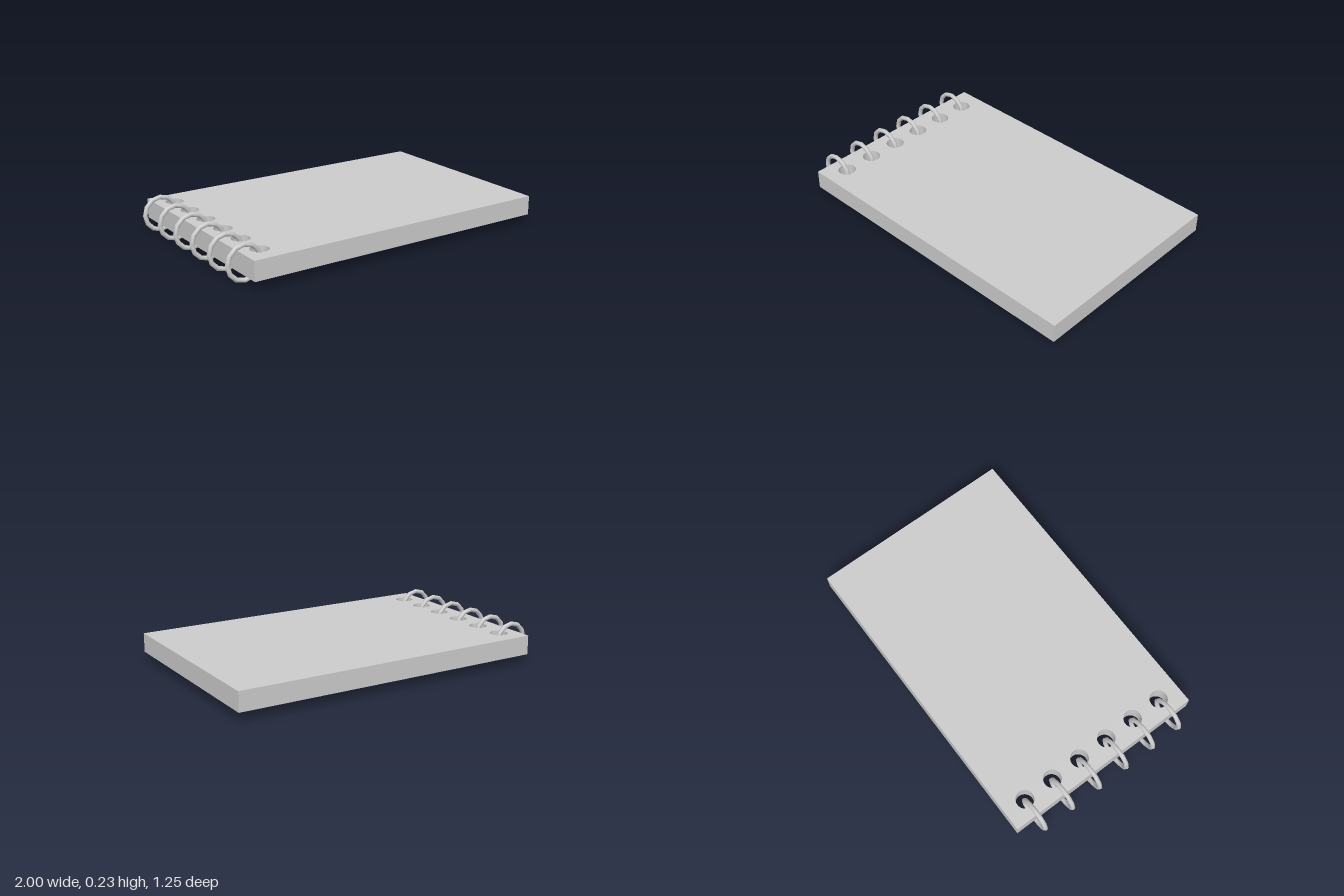
import * as THREE from 'three';

export function createModel() {
  const model = new THREE.Group();
  model.name = 'ringBoundNotepad';
  const material = new THREE.MeshStandardMaterial({ color: 0xcccccc });

  const count = 6, spacing = 0.195;
  const rowZ = (i) => (i - (count - 1) / 2) * spacing;

  // Page block, punched with a row of round holes along its left edge
  const left = -0.905, right = 1, halfDepth = 0.624, bottom = 0.053, top = 0.168;
  const outline = new THREE.Shape([
    new THREE.Vector2(left, -halfDepth),
    new THREE.Vector2(right, -halfDepth),
    new THREE.Vector2(right, halfDepth),
    new THREE.Vector2(left, halfDepth),
  ]);
  for (let i = 0; i < count; i++) {
    outline.holes.push(new THREE.Path().absarc(-0.794, rowZ(i), 0.053, 0, Math.PI * 2, true));
  }
  const pages = new THREE.ExtrudeGeometry(outline, {
    depth: top - bottom, bevelEnabled: false, curveSegments: 32,
  });
  pages.rotateX(Math.PI / 2).translate(0, top, 0);
  const block = new THREE.Mesh(pages, material);
  block.name = 'pageBlock';
  model.add(block);

  // Binding rings, one through each hole
  const tube = 0.014, outer = 0.113;
  const ringGeometry = new THREE.TorusGeometry(outer - tube, tube, 8, 12);
  const rings = new THREE.Group();
  rings.name = 'bindingRings';
  for (let i = 0; i < count; i++) {
    const ring = new THREE.Mesh(ringGeometry, material);
    ring.name = 'bindingRing';
    ring.position.set(outer - 1, outer, rowZ(i));
    rings.add(ring);
  }
  model.add(rings);

  return model;
}
